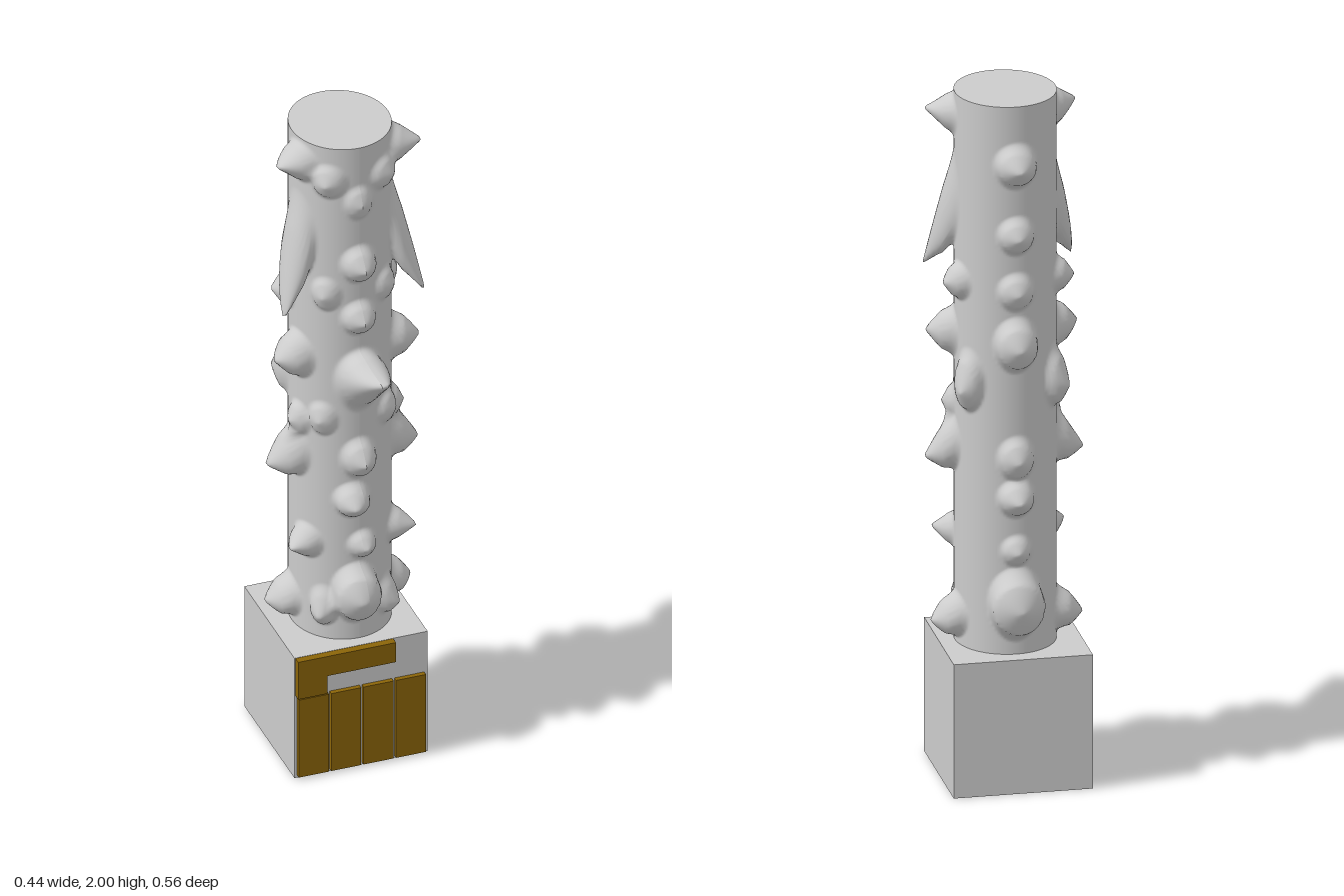
import * as THREE from 'three';

const GREY = new THREE.MeshStandardMaterial({ color: 0xcccccc });
const GOLD = new THREE.MeshStandardMaterial({ color: 0x8b6508 });
const RX = 0.142, RZ = 0.154, CX = -0.01, CZ = -0.042;
const BASE_TOP = 0.393, TOP = 2;

// Bumps: [angle from front (deg), y, half width, half height, outward, upward shift, turn (deg), sharpness]
const sideBumps = [
  [72, 1.925, 0.075, 0.07, 0.085, 0.01, 0, 1.2],
  [76, 1.68, 0.075, 0.15, 0.095, -0.22, -14, 1.1], // drooping horn
  [104, 1.46, 0.06, 0.06, 0.05, 0.0, 0, 0.8],
  [76, 1.29, 0.07, 0.08, 0.08, 0.0, 0, 0.8],
  [122, 1.18, 0.06, 0.1, 0.055, -0.02, 6, 0.8],
  [74, 1.08, 0.05, 0.06, 0.035, 0.0, 0, 0.8],
  [82, 0.97, 0.07, 0.09, 0.085, -0.04, 4, 0.9],
  [62, 0.695, 0.06, 0.06, 0.072, 0.0, 0, 1.1],
  [95, 0.475, 0.07, 0.07, 0.075, -0.015, 0, 0.7],
  [35, 1.89, 0.06, 0.06, 0.035, 0.0, 0, 0.8],
  [38, 1.52, 0.05, 0.06, 0.03, 0.0, 0, 0.8],
  [42, 1.11, 0.05, 0.06, 0.03, 0.0, 0, 0.8],
  [40, 0.5, 0.05, 0.07, 0.045, -0.02, 0, 0.9],
];
const middleBumps = [
  [0, 1.82, 0.05, 0.06, 0.03, 0, 0, 0.8],
  [0, 1.62, 0.06, 0.065, 0.058, 0, 0, 0.8],
  [0, 1.445, 0.06, 0.06, 0.052, 0, 0, 0.8],
  [2, 1.24, 0.085, 0.11, 0.17, 0.07, 2, 1.35], // front spike
  [0, 0.985, 0.06, 0.07, 0.06, 0, 0, 0.8],
  [-8, 0.85, 0.06, 0.06, 0.068, 0, 0, 0.8],
  [4, 0.7, 0.05, 0.05, 0.045, 0, 0, 0.9],
  [-4, 0.545, 0.075, 0.1, 0.09, 0.01, 0, 0.5],
  [180, 1.825, 0.07, 0.07, 0.07, 0, 0, 0.8],
  [180, 1.62, 0.06, 0.06, 0.052, 0, 0, 0.7],
  [180, 1.455, 0.06, 0.06, 0.045, 0, 0, 0.7],
  [180, 1.3, 0.07, 0.085, 0.072, 0, 0, 0.6],
  [180, 0.965, 0.06, 0.07, 0.052, 0, 0, 0.7],
  [180, 0.85, 0.06, 0.06, 0.066, 0, 0, 0.8],
  [180, 0.695, 0.05, 0.05, 0.04, 0, 0, 0.8],
  [180, 0.54, 0.085, 0.11, 0.09, 0, 0, 0.45],
];
const bumps = [
  ...middleBumps,
  ...sideBumps,
  ...sideBumps.map(([a, y, w, h, out, up, turn, s]) => [-a, y, w, h, out, up, -turn, s]),
];

// Upright column whose surface is pulled out into knobs and thorns
function makeColumn() {
  const geo = new THREE.CylinderGeometry(1, 1, TOP - BASE_TOP, 112, 320);
  geo.translate(0, (TOP + BASE_TOP) / 2, 0);
  const pos = geo.attributes.position;
  const rad = Math.PI / 180;
  for (let i = 0; i < pos.count; i++) {
    const x = pos.getX(i), y = pos.getY(i), z = pos.getZ(i);
    const angle = Math.atan2(x, z);
    const radius = Math.hypot(x, z);
    let out = 0, up = 0, turn = 0;
    if (radius > 0.5) {
      for (const [a, by, w, h, o, u, t, sharp] of bumps) {
        let da = angle - a * rad;
        da = Math.atan2(Math.sin(da), Math.cos(da));
        const d = Math.hypot((da * 0.148) / w, (y - by) / h);
        if (d >= 1) continue;
        // cone with a soft foot; a low sharpness gives a blunt knob
        const cone = 1 - d;
        const f = Math.pow(cone, sharp) * Math.min(1, cone * 3);
        out += o * f;
        up += u * f;
        turn += t * rad * f;
      }
    }
    const a2 = angle + turn;
    pos.setXYZ(i,
      CX + Math.sin(a2) * (RX * radius + out),
      y + up,
      CZ + Math.cos(a2) * (RZ * radius + out));
  }
  geo.computeVertexNormals();
  return geo;
}

function addBox(group, name, material, x0, x1, y0, y1, z0, z1) {
  const mesh = new THREE.Mesh(new THREE.BoxGeometry(x1 - x0, y1 - y0, z1 - z0), material);
  mesh.position.set((x0 + x1) / 2, (y0 + y1) / 2, (z0 + z1) / 2);
  mesh.name = name;
  group.add(mesh);
}

export function createModel() {
  const model = new THREE.Group();
  model.name = 'thornyColumn';

  // Square base
  addBox(model, 'base', GREY, -0.215, 0.178, 0, BASE_TOP, -0.245, 0.148);

  // Four upright gold plates on the front of the base
  const plates = new THREE.Group();
  plates.name = 'goldPlates';
  for (let i = 0; i < 4; i++) {
    const x = -0.207 + i * 0.0955;
    addBox(plates, 'plate', GOLD, x, x + 0.088, 0.008, 0.262, 0.148, 0.162);
  }
  model.add(plates);

  // Angled gold plate above them
  const outline = new THREE.Shape([
    [-0.212, 0.27], [-0.125, 0.27], [-0.125, 0.328],
    [0.076, 0.328], [0.076, 0.392], [-0.212, 0.392],
  ].map(([x, y]) => new THREE.Vector2(x, y)));
  const bracket = new THREE.Mesh(
    new THREE.ExtrudeGeometry(outline, { depth: 0.022, bevelEnabled: false }), GOLD);
  bracket.position.z = 0.148;
  bracket.name = 'angledPlate';
  model.add(bracket);

  const column = new THREE.Mesh(makeColumn(), GREY);
  column.name = 'column';
  model.add(column);
  return model;
}
